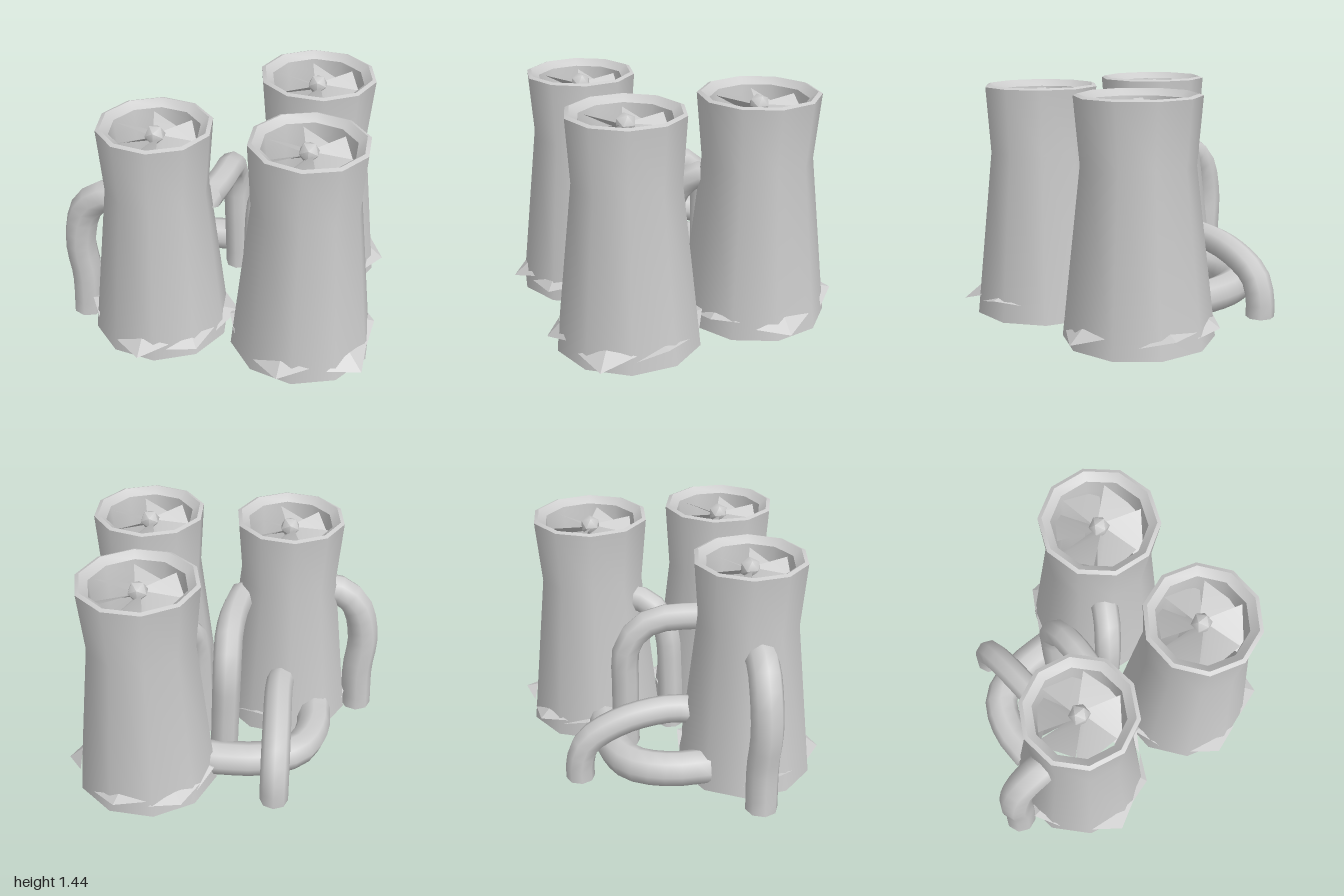
import * as THREE from 'three';
import { toCreasedNormals } from 'three/addons/utils/BufferGeometryUtils.js';

const SIDES = 10;
const concrete = new THREE.MeshStandardMaterial({ color: 0xcccccc, side: THREE.DoubleSide });
concrete.name = 'concrete grey';

function part(name, geometry, crease = 0.75) {
  const mesh = new THREE.Mesh(toCreasedNormals(geometry, crease), concrete);
  mesh.name = name;
  return mesh;
}

function fromPoints(points, index) {
  const g = new THREE.BufferGeometry();
  g.setAttribute('position', new THREE.Float32BufferAttribute(points.flat(), 3));
  g.setIndex(index);
  return g;
}

// Hollow waisted shell with a thick bevelled rim, open at the foot
function towerShell(foot, waist, top) {
  const profile = [
    [foot - 0.065, 0.03], [foot - 0.03, 0], [foot, 0.01], [waist, 1.03], [top, 1.43],
    [top - 0.025, 1.44], [top - 0.075, 1.4], [top - 0.085, 1.3],
    [waist - 0.06, 1.03], [foot - 0.065, 0.03],
  ].map(([x, y]) => new THREE.Vector2(x, y));
  return part('towerShell', new THREE.LatheGeometry(profile, SIDES));
}

// Torn collar near the foot, one flap per entry
function collar(foot, flaps) {
  const points = [], index = [], spread = 0.42;
  flaps.forEach(([degrees, radius, y], i) => {
    const a = THREE.MathUtils.degToRad(degrees);
    const corners = [[-spread, foot - 0.01, 0.13], [0, radius, y], [spread, foot - 0.01, 0.09], [0, foot - 0.03, 0.15]];
    for (const [da, r, h] of corners) points.push([r * Math.cos(a + da), h, r * Math.sin(a + da)]);
    const k = i * 4;
    index.push(k, k + 3, k + 1, k + 3, k + 2, k + 1);
  });
  return part('collar', fromPoints(points, index), 0.3);
}

// Ventilator of broad twisted blades round a faceted hub
function fan(radius) {
  const group = new THREE.Group();
  group.name = 'fan';
  const hub = part('fanHub', new THREE.IcosahedronGeometry(0.065, 0));
  hub.position.y = 1.36;
  group.add(hub);
  for (let i = 0; i < 6; i++) {
    const points = [[0.03, 1.36, -0.03], [0.03, 1.31, 0.03],
      [radius, 1.23, 0.15], [radius * 0.88, 1.38, -0.12]];
    const blade = part('fanBlade', fromPoints(points, [0, 1, 2, 0, 2, 3]), 0.3);
    blade.rotation.y = i * Math.PI / 3 + 0.3;
    group.add(blade);
  }
  return group;
}

// Eight-sided pipe along a smooth path
function pipe(name, radius, path) {
  const curve = new THREE.CatmullRomCurve3(path.map(p => new THREE.Vector3(...p)), false, 'centripetal');
  return part(name, new THREE.TubeGeometry(curve, 12, radius, 8, false), 0.9);
}

export function createModel() {
  const model = new THREE.Group();
  model.name = 'coolingTowers';

  // Collar flaps: [degrees from +x towards +z, radius, height]
  const towers = [
    { name: 'rightTower', x: -0.37, z: 0.4, foot: 0.43, waist: 0.315, top: 0.345, turn: 0.1,
      flaps: [[0, 0.5, 0.14], [50, 0.46, 0.08], [95, 0.49, 0.07], [172, 0.45, 0.15], [296, 0.44, 0.16]] },
    { name: 'leftTower', x: 0.53, z: 0.43, foot: 0.445, waist: 0.33, top: 0.355, turn: 0,
      flaps: [[38, 0.52, 0.06], [100, 0.49, 0.07], [177, 0.45, 0.15], [284, 0.45, 0.16], [350, 0.46, 0.14]] },
    { name: 'backTower', x: 0.48, z: -0.43, foot: 0.45, waist: 0.335, top: 0.37, turn: 0.2,
      flaps: [[0, 0.51, 0.07], [60, 0.46, 0.12], [195, 0.45, 0.14], [238, 0.49, 0.1], [287, 0.5, 0.13]] },
  ];
  for (const t of towers) {
    const tower = new THREE.Group();
    tower.name = t.name;
    const shell = towerShell(t.foot, t.waist, t.top);
    shell.rotation.y = t.turn;
    tower.add(shell, collar(t.foot, t.flaps), fan(t.top - 0.09));
    tower.position.set(t.x, 0, t.z);
    model.add(tower);
  }

  model.add(
    // Downpipe on the outer side
    pipe('sideDownpipe', 0.1, [[-0.62, 0.92, 0.4], [-0.72, 0.9, 0.4], [-0.83, 0.8, 0.39],
      [-0.89, 0.55, 0.39], [-0.87, 0.3, 0.38], [-0.88, 0, 0.38]]),
    // Downpipe reaching backwards between the towers
    pipe('innerDownpipe', 0.088, [[-0.08, 0.91, 0.3], [-0.04, 0.91, 0.1], [-0.02, 0.88, -0.14],
      [-0.02, 0.74, -0.28], [-0.01, 0.4, -0.3], [0, 0, -0.3]]),
    // Downpipe of the back tower
    pipe('backTowerDownpipe', 0.085, [[0.33, 0.9, -0.21], [0.27, 0.88, -0.1], [0.2, 0.74, 0],
      [0.18, 0.4, 0.03], [0.17, 0, 0.03]]),
    // Ground pipe joining two towers
    pipe('groundPipe', 0.11, [[0.1, 0.13, -0.43], [-0.25, 0.13, -0.42], [-0.47, 0.14, -0.33],
      [-0.57, 0.14, -0.12], [-0.58, 0.14, 0.12]]),
    // Arched pipe crossing over the ground pipe
    pipe('archedPipe', 0.09, [[-0.35, 0.42, 0.06], [-0.34, 0.43, -0.1], [-0.34, 0.38, -0.38],
      [-0.34, 0.25, -0.6], [-0.34, 0.1, -0.65], [-0.34, 0, -0.65]]),
  );
  return model;
}
